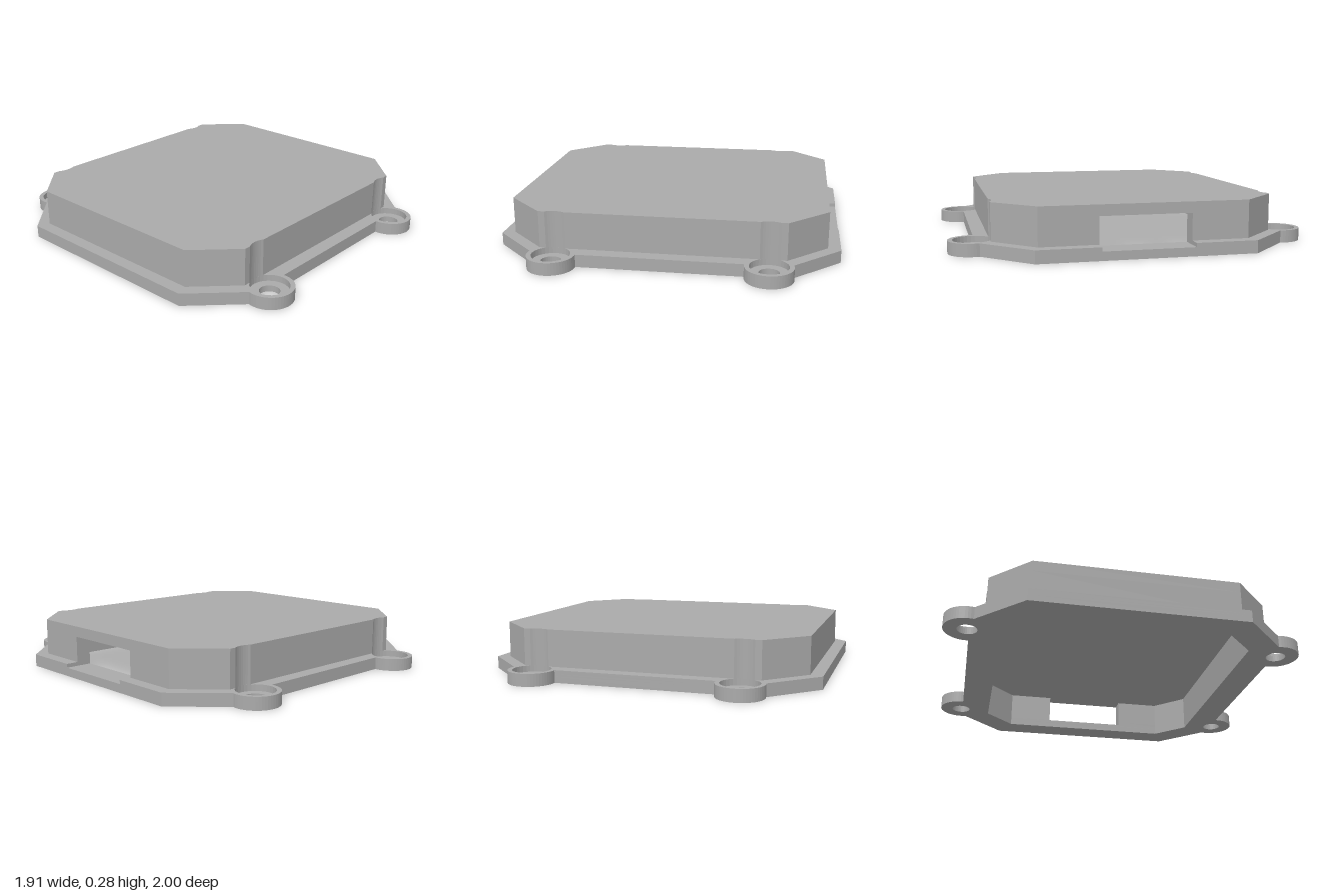
import * as THREE from 'three';

const BOLT = [0.58, 0.87];

// Points on an arc around the bolt centre
function boltArc(radius, from, to, steps) {
  return Array.from({ length: steps + 1 }, (_, i) => {
    const a = from + ((to - from) * i) / steps;
    return [BOLT[0] + radius * Math.cos(a), BOLT[1] + radius * Math.sin(a)];
  });
}

// Mirror one quadrant into a closed counter-clockwise outline
function mirrorQuadrant(q) {
  const flip = (sx, sy) => q.map(([x, y]) => [x * sx, y * sy]);
  return [...q, ...flip(-1, 1).reverse(), ...flip(-1, -1), ...flip(1, -1).reverse()];
}

const toVectors = (pts) => pts.map(([x, y]) => new THREE.Vector2(x, y));

// Outlines: flange with screw ears, cover with ear reliefs, inner cavity
const flangeOutline = mirrorQuadrant([[0.955, 0.59], ...boltArc(0.13, -0.24, Math.PI + 0.077, 28)]);
const coverOutline = mirrorQuadrant([[0.885, 0.565], [0.67, 0.78], ...boltArc(0.105, -1.03, -2.11, 8)]);
const cavityOutline = mirrorQuadrant([[0.80, 0.52], [0.63, 0.69]]);

// Closed ring around the cavity, with optional round holes at the bolts
function ringShape(outer, boltRadius) {
  const shape = new THREE.Shape(toVectors(outer));
  shape.holes.push(new THREE.Path(toVectors(cavityOutline)));
  if (boltRadius) addBoltHoles(shape, boltRadius);
  return shape;
}

// Ring interrupted on the +x side by the port opening
function openRingShape(outer, outerX, boltRadius) {
  const w = 0.25;
  const shape = new THREE.Shape(toVectors([
    [outerX, w], ...outer, [outerX, -w],
    [0.80, -w], ...cavityOutline.slice().reverse(), [0.80, w],
  ]));
  if (boltRadius) addBoltHoles(shape, boltRadius);
  return shape;
}

function addBoltHoles(shape, radius) {
  for (const sx of [-1, 1]) {
    for (const sy of [-1, 1]) {
      const hole = new THREE.Path();
      hole.absarc(sx * BOLT[0], sy * BOLT[1], radius, 0, Math.PI * 2, true);
      shape.holes.push(hole);
    }
  }
}

export function createModel() {
  const grey = new THREE.MeshStandardMaterial({ color: 0xaaaaaa });
  grey.name = 'plain grey';
  const model = new THREE.Group();
  model.name = 'enclosureCover';

  // Extrude a plan shape between two heights
  function layer(name, shape, y0, y1) {
    const geometry = new THREE.ExtrudeGeometry(shape, {
      depth: y1 - y0, bevelEnabled: false, curveSegments: 16,
    });
    geometry.rotateX(-Math.PI / 2);
    geometry.translate(0, y0, 0);
    const mesh = new THREE.Mesh(geometry, grey);
    mesh.name = name;
    model.add(mesh);
  }

  // Flange: screw holes, counterbores, then the port's shallow slot
  layer('flangeBottom', ringShape(flangeOutline, 0.055), 0, 0.035);
  layer('flangeCounterbore', ringShape(flangeOutline, 0.105), 0.035, 0.048);
  layer('flangeTop', openRingShape(flangeOutline, 0.955, 0.105), 0.048, 0.07);

  // Cover: walls with the port opening, closed by the lid
  layer('coverWalls', openRingShape(coverOutline, 0.885), 0.07, 0.217);
  layer('coverLid', new THREE.Shape(toVectors(coverOutline)), 0.217, 0.277);

  return model;
}
